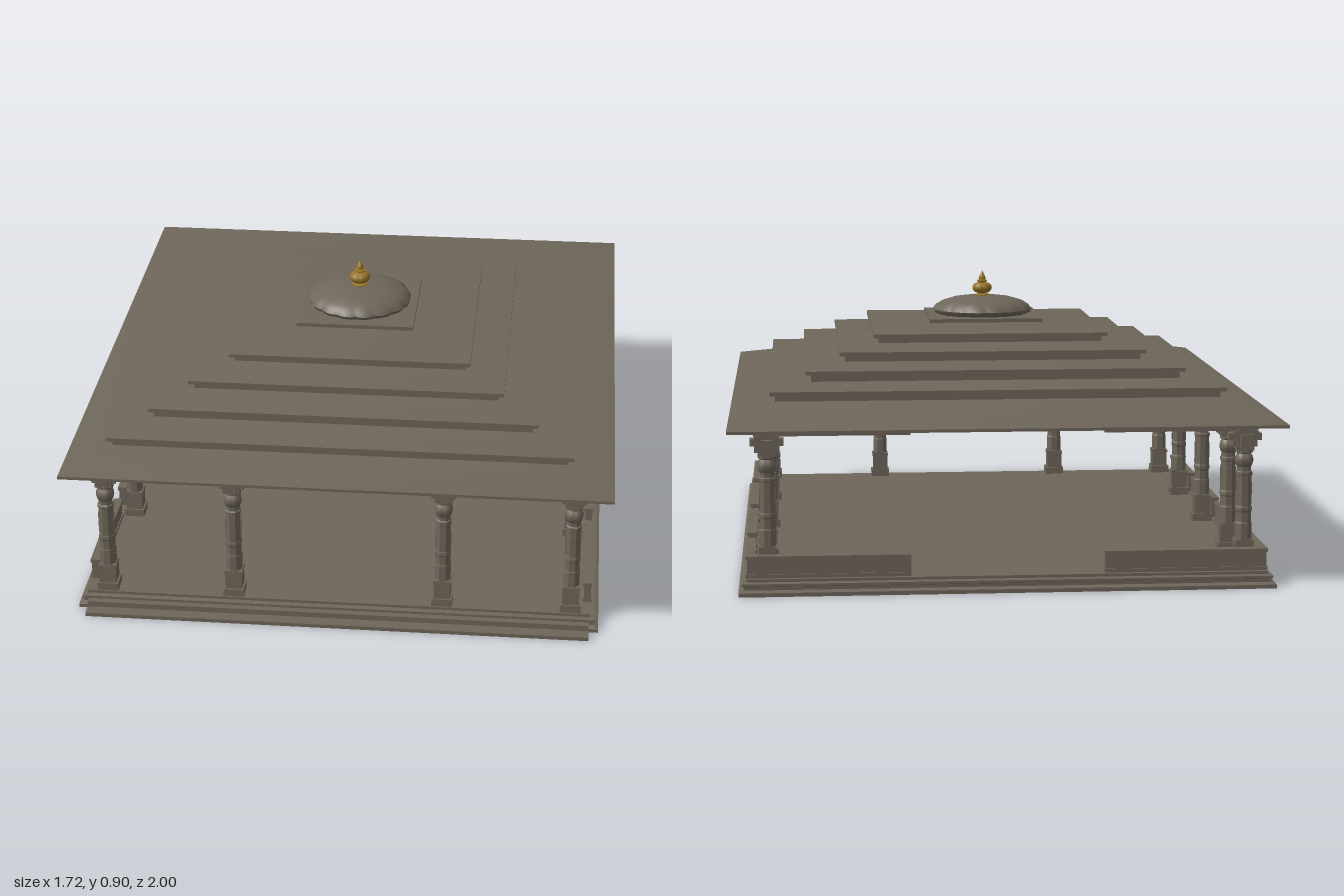
import * as THREE from 'three';
import { toCreasedNormals } from 'three/addons/utils/BufferGeometryUtils.js';

const stone = new THREE.MeshStandardMaterial({ color: 0x6e665a });
stone.name = 'grey brown stone';
const gold = new THREE.MeshStandardMaterial({ color: 0x9a7529 });
gold.name = 'dull gold';

const ROOF_Z = 0.122; // centre of the stepped roof

function add(parent, name, geometry, x = 0, y = 0, z = 0, material = stone) {
  const mesh = new THREE.Mesh(geometry, material);
  mesh.name = name;
  mesh.position.set(x, y, z);
  parent.add(mesh);
  return mesh;
}

// Box given by its limits on each axis
function slab(parent, name, x0, x1, y0, y1, z0, z1) {
  return add(parent, name, new THREE.BoxGeometry(x1 - x0, y1 - y0, z1 - z0),
    (x0 + x1) / 2, (y0 + y1) / 2, (z0 + z1) / 2);
}

// Closed solid through rectangular sections [halfX, zBack, zFront, y], from the underside to the top
function rectLoft(sections) {
  const pos = [];
  const rings = sections.map(([h, z0, z1, y]) => [[-h, y, z1], [h, y, z1], [h, y, z0], [-h, y, z0]]);
  const quad = (a, b, c, d) => pos.push(...a, ...b, ...c, ...a, ...c, ...d);
  for (let i = 0; i < rings.length - 1; i++) {
    for (let k = 0; k < 4; k++) {
      const n = (k + 1) % 4;
      quad(rings[i][k], rings[i][n], rings[i + 1][n], rings[i + 1][k]);
    }
  }
  const [a, b, c, d] = rings[0];
  quad(d, c, b, a);
  quad(...rings[rings.length - 1]);
  const g = new THREE.BufferGeometry();
  g.setAttribute('position', new THREE.Float32BufferAttribute(pos, 3));
  return toCreasedNormals(g, 0.5);
}

function lathe(points, sides, crease = 0.7) {
  const g = new THREE.LatheGeometry(points.map(([r, y]) => new THREE.Vector2(r, y)), sides);
  return toCreasedNormals(g, crease);
}

function makeBase(group) {
  // Moulded platform, hollow underneath
  const layers = [[0.8, 0.035], [0.8, 0], [0.83, 0], [0.83, 0.012], [0.815, 0.018], [0.815, 0.028],
    [0.82, 0.03], [0.82, 0.038], [0.805, 0.041], [0.805, 0.05]];
  add(group, 'platform', rectLoft(layers.map(([h, y]) => [h, -h - 0.158, h + 0.103, y])));
  // Low front steps
  slab(group, 'lowerStep', -0.8, 0.8, 0, 0.012, 0.91, 0.985);
  slab(group, 'upperStep', -0.8, 0.8, 0.012, 0.03, 0.905, 0.945);
}

function makeColumn() {
  const col = new THREE.Group();
  col.name = 'column';
  const box = (name, w, y0, y1, d = w) => slab(col, name, -w / 2, w / 2, y0, y1, -d / 2, d / 2);
  box('plinth', 0.066, 0.05, 0.075);
  box('pedestal', 0.054, 0.075, 0.14);
  box('pedestalCap', 0.058, 0.128, 0.136);
  // Eight sided shaft with a raised middle band
  const shaft = add(col, 'shaft', lathe([[0.027, 0.14], [0.027, 0.19], [0.025, 0.195], [0.025, 0.225],
    [0.027, 0.23], [0.027, 0.24], [0.025, 0.245], [0.024, 0.34], [0.027, 0.342], [0.027, 0.352],
    [0.023, 0.355], [0.023, 0.37]], 8, 0.3));
  shaft.rotation.y = Math.PI / 8;
  for (let i = 0; i < 4; i++) {
    const a = i * Math.PI / 2;
    const panel = add(col, 'shaftPanel', new THREE.BoxGeometry(0.012, 0.07, 0.006),
      Math.sin(a) * 0.022, 0.285, Math.cos(a) * 0.022);
    panel.rotation.y = a;
  }
  // Round cushion and neck
  add(col, 'cushion', lathe([[0.02, 0.366], [0.025, 0.372], [0.029, 0.385], [0.029, 0.394],
    [0.025, 0.405], [0.021, 0.41], [0.028, 0.414], [0.028, 0.424], [0.02, 0.425]], 20));
  // Cross shaped bracket capital
  box('capitalBlock', 0.054, 0.422, 0.49);
  for (const [w, y0, y1] of [[0.076, 0.432, 0.452], [0.104, 0.452, 0.474]]) {
    box('bracket', w, y0, y1, 0.036);
    box('bracket', 0.036, y0, y1, w);
  }
  box('abacus', 0.074, 0.474, 0.486);
  return col;
}

// Low parapet with a foot and a coping
function parapet(group, name, x0, x1, z0, z1) {
  const alongX = x1 - x0 > z1 - z0;
  const ox = alongX ? 0 : 0.004, oz = alongX ? 0.004 : 0;
  slab(group, name + 'Foot', x0 - ox, x1 + ox, 0.05, 0.062, z0 - oz, z1 + oz);
  slab(group, name, x0, x1, 0.062, 0.107, z0, z1);
  slab(group, name + 'Coping', x0 - ox, x1 + ox, 0.107, 0.118, z0 - oz, z1 + oz);
}

function makeRoof(group) {
  // Wide sloping eave, deeper at the back
  add(group, 'eave', rectLoft([[0.86, -1, 1, 0.503], [0.86, -1, 1, 0.512], [0.71, -0.59, 0.835, 0.545]]));

  // Stepped pyramid: a set back riser under each projecting sloped lip
  const tiers = [[0.733, 0.565], [0.618, 0.615], [0.505, 0.662], [0.39, 0.707], [0.192, 0.735]];
  const sections = [];
  const push = (h, y) => sections.push([h, ROOF_Z - h, ROOF_Z + h, y]);
  push(0.715, 0.53);
  tiers.forEach(([h, y], i) => {
    push(h - 0.018, y - 0.002);
    push(h, y);
    push(h, y + 0.012);
    if (i < tiers.length - 1) push(tiers[i + 1][0] - 0.018, y + 0.027);
  });
  add(group, 'steppedRoof', rectLoft(sections));

  // Dome with a scalloped rim that fades out towards the crown
  const dome = new THREE.LatheGeometry([[0.13, 0.742], [0.15, 0.746], [0.167, 0.754], [0.172, 0.764],
    [0.163, 0.777], [0.14, 0.791], [0.1, 0.803], [0.05, 0.81], [0, 0.812]]
    .map(([r, y]) => new THREE.Vector2(r, y)), 96);
  const p = dome.attributes.position;
  for (let i = 0; i < p.count; i++) {
    const a = Math.atan2(p.getX(i), p.getZ(i));
    const depth = 0.035 * THREE.MathUtils.clamp((0.795 - p.getY(i)) / 0.03, 0, 1);
    const k = 1 - depth * (1 - Math.abs(Math.sin(a * 8)));
    p.setX(i, p.getX(i) * k);
    p.setZ(i, p.getZ(i) * k);
  }
  add(group, 'dome', toCreasedNormals(dome, 0.7), 0, 0, ROOF_Z);

  // Finial
  add(group, 'finial', lathe([[0.026, 0.805], [0.026, 0.813], [0.014, 0.817], [0.026, 0.822], [0.032, 0.829],
    [0.034, 0.837], [0.032, 0.845], [0.026, 0.851], [0.012, 0.855], [0.018, 0.858], [0.018, 0.862],
    [0.011, 0.865], [0.012, 0.871], [0.007, 0.882], [0, 0.896]], 28, 0.8), 0, 0, ROOF_Z, gold);

  // Ceiling pendant
  const pendant = add(group, 'ceilingPendant', new THREE.SphereGeometry(0.025, 20, 12), 0, 0.494, 0.13);
  pendant.scale.y = 0.8;
}

export function createModel() {
  const model = new THREE.Group();
  model.name = 'pavilion';
  makeBase(model);

  // Columns: five on each side, two more at the front
  const colZ = [0.87, 0.39, -0.11, -0.613, -0.886];
  const spots = [[0.333, 0.87], ...colZ.map(z => [0.74, z])];
  for (const s of [-1, 1]) {
    for (const [x, z] of spots) {
      const col = makeColumn();
      col.position.set(s * x, 0, z);
      model.add(col);
    }
    // Side parapets between columns, and short returns at the back
    const range = (a, b) => (s > 0 ? [a, b] : [-b, -a]);
    for (let i = 0; i < 4; i++) {
      const end = i === 3 ? -0.945 : colZ[i + 1] + 0.038;
      parapet(model, 'sideParapet', ...range(0.782, 0.804), end, colZ[i] - 0.038);
    }
    parapet(model, 'backParapet', ...range(0.3, 0.804), -0.945, -0.92);
    // Beams above
    slab(model, 'sideBeam', ...range(0.715, 0.765), 0.483, 0.51, -0.93, 0.91);
    slab(model, 'backBeam', ...range(0.3, 0.78), 0.483, 0.51, -0.91, -0.862);
  }
  for (const z of [0.87, -0.613]) slab(model, 'crossBeam', -0.78, 0.78, 0.483, 0.51, z - 0.024, z + 0.024);

  makeRoof(model);
  return model;
}
